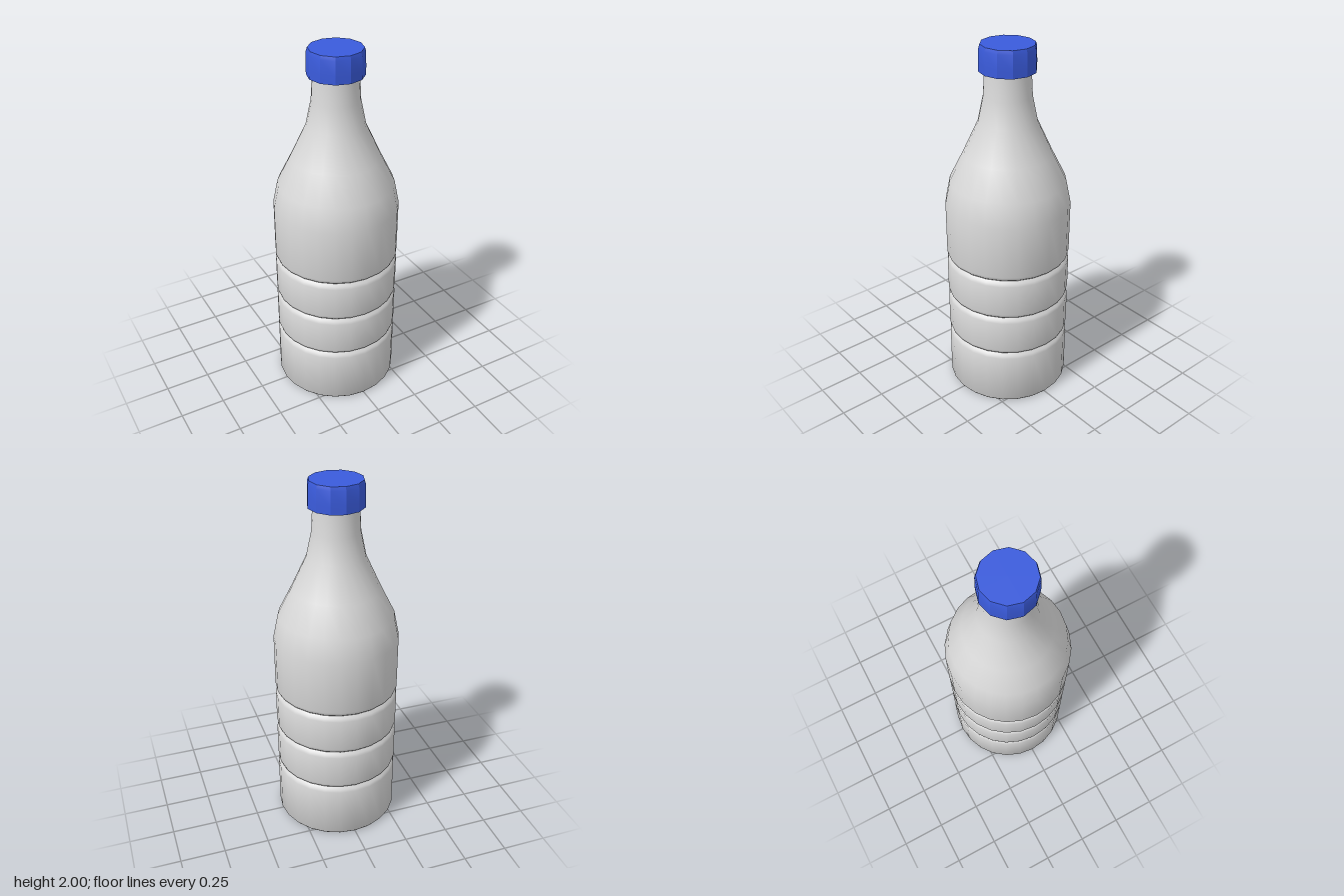
import * as THREE from 'three';
import { toCreasedNormals } from 'three/addons/utils/BufferGeometryUtils.js';

const plastic = new THREE.MeshStandardMaterial({ name: 'clear grey plastic', color: 0xdadada });
const blue = new THREE.MeshStandardMaterial({ name: 'blue cap', color: 0x3a5bdc });

// Turns a [radius, height] profile, listed from bottom to top
function turned(name, profile, sides, crease, material) {
  const points = profile.map(([r, y]) => new THREE.Vector2(r, y));
  const geometry = toCreasedNormals(new THREE.LatheGeometry(points, sides), crease);
  const mesh = new THREE.Mesh(geometry, material);
  mesh.name = name;
  return mesh;
}

// Rounded V-shaped groove around the body
const groove = (y) => [
  [0.342, y - 0.03], [0.337, y - 0.014], [0.324, y],
  [0.337, y + 0.012], [0.342, y + 0.028],
];

export function createModel() {
  const model = new THREE.Group();
  model.name = 'bottle';

  // Ribbed body, sloping shoulder and neck
  model.add(turned('body', [
    [0, 0], [0.333, 0], [0.342, 0.012],
    ...groove(0.33), ...groove(0.57), ...groove(0.808),
    [0.342, 1.13], [0.315, 1.26], [0.24, 1.41], [0.157, 1.59],
    [0.128, 1.73], [0.12, 1.88], [0, 1.88],
  ], 24, 0.8, plastic));

  // Faceted screw cap with a bevelled top
  model.add(turned('cap', [
    [0.1, 1.86], [0.15, 1.86], [0.15, 1.9], [0.148, 1.98], [0.142, 2], [0, 2],
  ], 12, 0.4, blue));

  return model;
}
